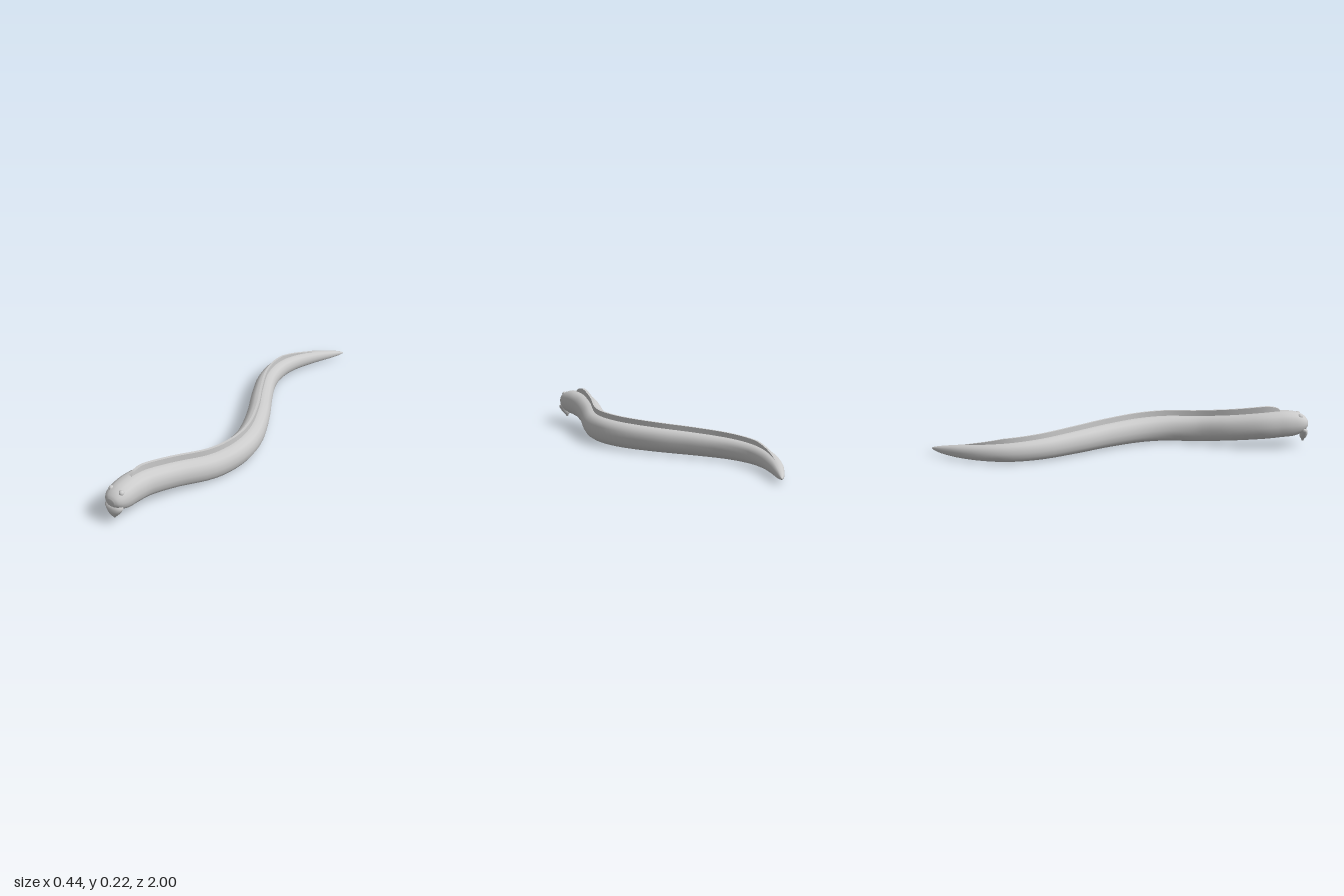
import * as THREE from 'three';
import { toCreasedNormals } from 'three/addons/utils/BufferGeometryUtils.js';

const material = new THREE.MeshStandardMaterial({ color: 0xcccccc });

// Skin a list of closed rings (arrays of Vector3) and cap both ends
function loft(rings) {
  const n = rings[0].length;
  const points = rings.flat();
  const index = [];
  for (let i = 0; i < rings.length - 1; i++) {
    for (let j = 0; j < n; j++) {
      const a = i * n + j, b = i * n + (j + 1) % n;
      index.push(a, a + n, b, b, a + n, b + n);
    }
  }
  const middle = (ring) => ring.reduce((s, p) => s.add(p), new THREE.Vector3()).divideScalar(n);
  const first = points.length, last = first + 1, base = (rings.length - 1) * n;
  points.push(middle(rings[0]), middle(rings[rings.length - 1]));
  for (let j = 0; j < n; j++) {
    const k = (j + 1) % n;
    index.push(first, j, k, last, base + k, base + j);
  }
  const geometry = new THREE.BufferGeometry().setFromPoints(points);
  geometry.setIndex(index);
  geometry.computeVertexNormals();
  return geometry;
}

// Slightly squared oval
function oval(sides, place) {
  const soft = (v) => Math.sign(v) * Math.abs(v) ** 0.88;
  return Array.from({ length: sides }, (_, j) => {
    const a = (j / sides) * Math.PI * 2;
    return place(soft(Math.cos(a)), soft(Math.sin(a)));
  });
}

function named(name, geometry) {
  const mesh = new THREE.Mesh(geometry, material);
  mesh.name = name;
  return mesh;
}

// Body stations from snout to tail: z, x, half width, bottom, top
const stations = [
  [0.997, -0.01, 0.022, 0.112, 0.147],
  [0.985, -0.01, 0.043, 0.1, 0.165],
  [0.96, -0.01, 0.058, 0.08, 0.183],
  [0.92, -0.01, 0.066, 0.064, 0.196],
  [0.85, -0.01, 0.069, 0.057, 0.201],
  [0.75, -0.002, 0.069, 0.046, 0.191],
  [0.6, 0.045, 0.068, 0.027, 0.169],
  [0.42, 0.123, 0.068, 0.004, 0.146],
  [0.26, 0.153, 0.068, 0.003, 0.143],
  [0.1, 0.13, 0.067, 0.003, 0.139],
  [-0.08, 0.05, 0.063, 0.003, 0.132],
  [-0.25, -0.05, 0.059, 0.003, 0.124],
  [-0.42, -0.138, 0.054, 0.003, 0.114],
  [-0.57, -0.172, 0.05, 0.003, 0.104],
  [-0.7, -0.158, 0.045, 0.004, 0.093],
  [-0.83, -0.107, 0.036, 0.006, 0.077],
  [-0.93, -0.048, 0.022, 0.012, 0.057],
  [-0.98, -0.014, 0.011, 0.021, 0.043],
  [-0.999, 0, 0.003, 0.029, 0.034],
];
const spine = new THREE.CatmullRomCurve3(
  stations.map(([z, x, , b, t]) => new THREE.Vector3(x, (b + t) / 2, z)), false, 'catmullrom');
const girth = new THREE.CatmullRomCurve3(
  stations.map(([, , w, b, t]) => new THREE.Vector3(w, (t - b) / 2, 0)), false, 'catmullrom');

// Centre, half sizes and sideways direction at a point along the body
function frameAt(t) {
  const tangent = spine.getTangent(t);
  const side = new THREE.Vector3(-tangent.z, 0, tangent.x).normalize();
  const size = girth.getPoint(t);
  return { centre: spine.getPoint(t), side, w: size.x, h: size.y };
}

function buildBody() {
  const rings = [];
  const steps = (stations.length - 1) * 4;
  for (let i = 0; i <= steps; i++) {
    const { centre, side, w, h } = frameAt(i / steps);
    rings.push(oval(16, (u, v) => {
      const p = centre.clone().addScaledVector(side, u * w);
      p.y += v * h;
      return p;
    }));
  }
  return loft(rings);
}

// Thin ridge along the back, rounded in front and fading out at the tail
function buildFin() {
  const last = stations.length - 1;
  const start = 4 / last, end = 15 / last, steps = 60;
  const rings = [];
  for (let i = 0; i <= steps; i++) {
    const f = i / steps;
    const { centre, side, h } = frameAt(THREE.MathUtils.lerp(start, end, f));
    const rise = 0.031 * (1 - 0.3 * f) * Math.min(1, Math.sqrt(f / 0.07)) * Math.min(1, (1 - f) / 0.15);
    const half = 0.009 - 0.003 * f;
    const top = centre.y + h;
    const corner = (s, y) => {
      const p = centre.clone().addScaledVector(side, s);
      p.y = y;
      return p;
    };
    rings.push([
      corner(half, top - 0.012), corner(half * 0.85, top + rise),
      corner(-half * 0.85, top + rise), corner(-half, top - 0.012),
    ]);
  }
  return toCreasedNormals(loft(rings), 0.6);
}

// Hanging lower jaw, from the lip down to the chin: y, half width, z, half depth
function buildJaw() {
  const rows = [
    [0.108, 0.05, 0.968, 0.014],
    [0.102, 0.055, 0.972, 0.02],
    [0.09, 0.051, 0.977, 0.021],
    [0.075, 0.04, 0.979, 0.02],
    [0.06, 0.028, 0.978, 0.018],
    [0.049, 0.018, 0.977, 0.014],
    [0.043, 0.009, 0.977, 0.009],
    [0.033, 0.005, 0.976, 0.005],
  ];
  return loft(rows.map(([y, w, z, d]) =>
    oval(14, (u, v) => new THREE.Vector3(-0.008 + u * w, y, z - v * d))));
}

export function createModel() {
  const model = new THREE.Group();
  model.name = 'eel';
  model.add(named('body', buildBody()), named('backFin', buildFin()), named('lowerJaw', buildJaw()));

  for (const [name, s] of [['leftEye', 1], ['rightEye', -1]]) {
    const eye = named(name, new THREE.SphereGeometry(0.014, 16, 12));
    eye.position.set(-0.009 + s * 0.032, 0.174, 0.95);
    model.add(eye);
  }
  return model;
}
